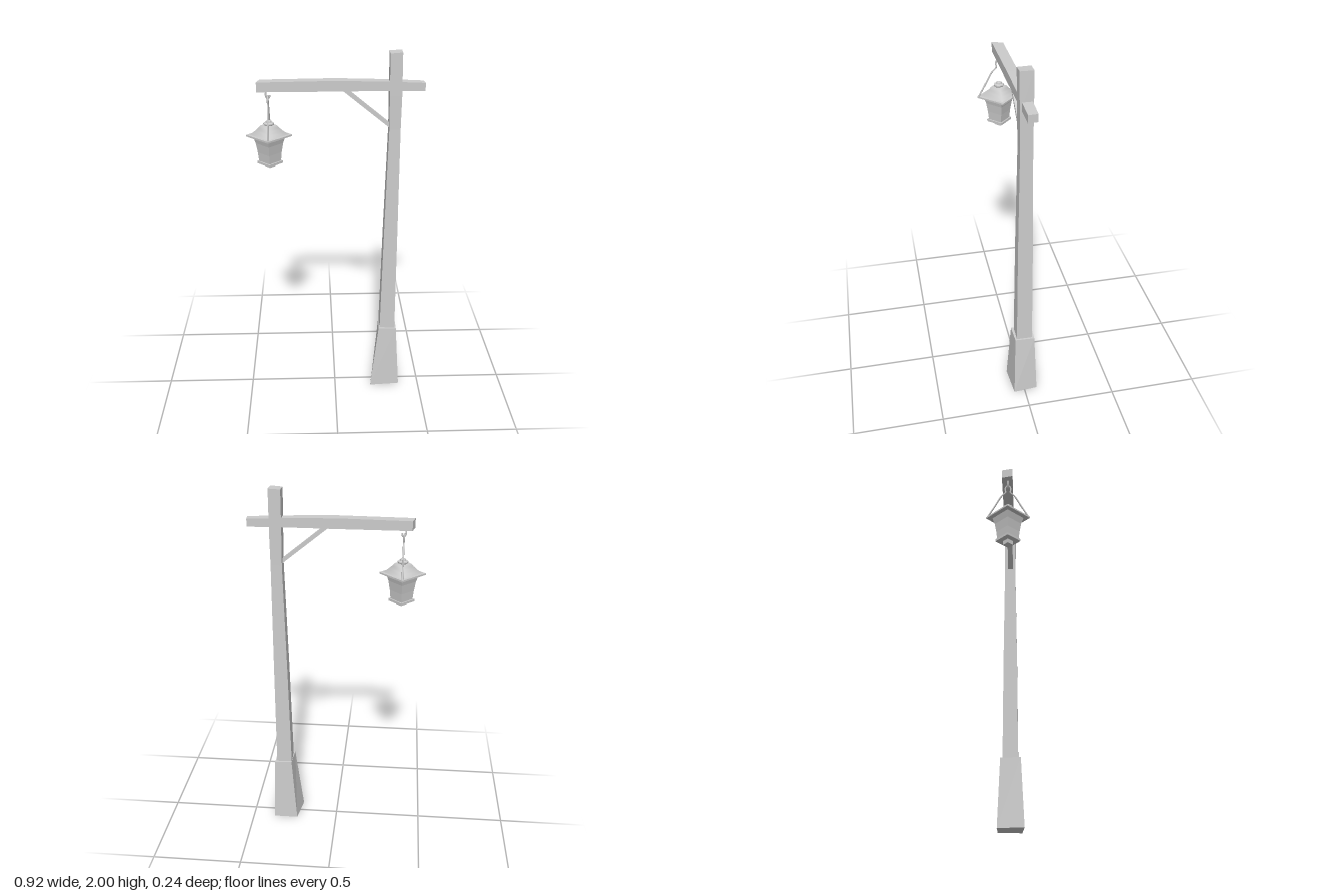
import * as THREE from 'three';

const flat = new THREE.MeshStandardMaterial({ color: 0xcccccc, flatShading: true });
const smooth = new THREE.MeshStandardMaterial({ color: 0xcccccc });

// Closed solid through four-cornered rings, each counter-clockwise seen from the end of the path
function loft(rings) {
  const pos = [];
  const quad = (a, b, c, d) => pos.push(...a, ...b, ...c, ...a, ...c, ...d);
  for (let r = 0; r + 1 < rings.length; r++) {
    for (let i = 0; i < 4; i++) {
      const j = (i + 1) % 4;
      quad(rings[r][i], rings[r][j], rings[r + 1][j], rings[r + 1][i]);
    }
  }
  quad(...[...rings[0]].reverse());
  quad(...rings[rings.length - 1]);
  const g = new THREE.BufferGeometry();
  g.setAttribute('position', new THREE.Float32BufferAttribute(pos, 3));
  g.computeVertexNormals();
  return g;
}

// Ring lying level, and ring standing across x
const level = (y, x0, x1, z0, z1) => [[x0, y, z1], [x1, y, z1], [x1, y, z0], [x0, y, z0]];
const across = (x, y0, y1, z0, z1, skew = 0) =>
  [[x - skew, y0, z1], [x + skew, y0, z0], [x + skew, y1, z0], [x - skew, y1, z1]];

export function createModel() {
  const model = new THREE.Group();
  const add = (parent, name, geometry, material = flat) => {
    const mesh = new THREE.Mesh(geometry, material);
    mesh.name = name;
    parent.add(mesh);
    return mesh;
  };

  // Uneven flared footing
  add(model, 'postBase', loft([
    [[0.212, 0, 0.075], [0.383, 0, 0.062], [0.373, 0, -0.073], [0.235, 0, -0.073]],
    [[0.255, 0.392, 0.057], [0.357, 0.388, 0.052], [0.36, 0.386, -0.056], [0.262, 0.39, -0.058]],
  ]));

  // Slightly crooked post
  add(model, 'post', loft([
    level(0.37, 0.262, 0.349, -0.045, 0.042),
    level(1.0, 0.271, 0.345, -0.041, 0.038),
    level(1.6, 0.282, 0.341, -0.034, 0.03),
    level(1.78, 0.279, 0.342, -0.034, 0.033),
    [[0.275, 1.995, 0.034], [0.338, 2, 0.034], [0.34, 2, -0.034], [0.277, 1.997, -0.034]],
  ]));

  // Crossbeam with a slight hump
  add(model, 'crossbeam', loft([
    across(-0.391, 1.803, 1.853, -0.033, 0.026, 0.007),
    across(0, 1.803, 1.858, -0.031, 0.025),
    across(0.28, 1.804, 1.851, -0.029, 0.023),
    across(0.459, 1.802, 1.843, -0.027, 0.022, -0.002),
  ]));

  // Diagonal brace under the beam
  const b = 0.015;
  add(model, 'brace', loft([
    [[0.025, 1.815, b], [0.025, 1.815, -b], [0.055, 1.815, -b], [0.055, 1.815, b]],
    [[0.295, 1.597, b], [0.295, 1.597, -b], [0.295, 1.62, -b], [0.295, 1.62, b]],
  ]));

  // Hanging lantern, corners pointing along x and z
  const lantern = new THREE.Group();
  lantern.name = 'lantern';
  lantern.position.x = -0.343;
  model.add(lantern);

  const turned = (name, profile, sides, material = flat) => add(lantern, name,
    new THREE.LatheGeometry(profile.map(([r, y]) => new THREE.Vector2(r, y)), sides), material);

  turned('finial', [[0, 1.392], [0.027, 1.392], [0.027, 1.416], [0, 1.416]], 4);
  turned('bottomPlate', [[0, 1.415], [0.068, 1.415], [0.068, 1.428], [0, 1.428]], 4);
  turned('lanternBody', [[0.058, 1.427], [0.063, 1.475], [0.072, 1.525], [0.086, 1.565]], 4);
  turned('roofRim', [[0, 1.562], [0.12, 1.562], [0.12, 1.571], [0.1, 1.572]], 4);
  turned('roof', [[0.102, 1.571], [0.073, 1.592], [0.055, 1.608], [0.042, 1.622], [0, 1.626]], 4, smooth);
  turned('roofCap', [[0.022, 1.62], [0.028, 1.628], [0.028, 1.634], [0.016, 1.638],
    [0.014, 1.646], [0, 1.65]], 8);

  // Wire handle, mirrored front to back and closing in a small eye
  const half = [[0.114, 1.567], [0.075, 1.637], [0.036, 1.708], [0.013, 1.733], [0.016, 1.755], [0.009, 1.772]];
  const path = [...half, [0, 1.777], ...half.map(([z, y]) => [-z, y]).reverse()]
    .map(([z, y]) => new THREE.Vector3(0, y, z));
  add(lantern, 'handle',
    new THREE.TubeGeometry(new THREE.CatmullRomCurve3(path, false, 'centripetal'), 48, 0.0045, 6), smooth);

  // Hook under the beam
  const hook = [[-0.009, 1.81], [-0.009, 1.778], [-0.002, 1.766], [0.008, 1.769], [0.011, 1.782]]
    .map(([x, y]) => new THREE.Vector3(x, y, 0));
  add(lantern, 'hook', new THREE.TubeGeometry(new THREE.CatmullRomCurve3(hook), 20, 0.005, 6), smooth);

  return model;
}
